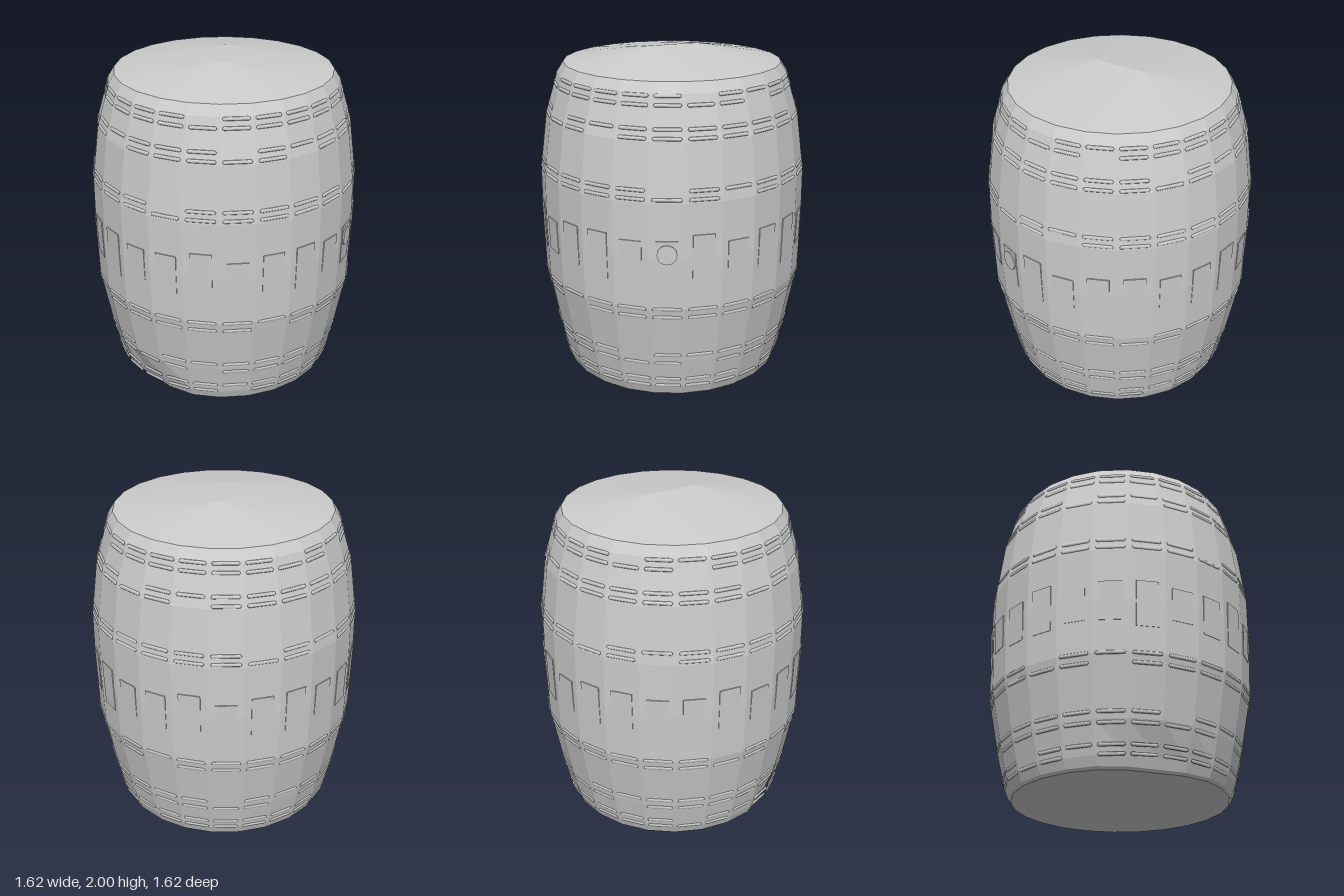
import * as THREE from 'three';
import { mergeGeometries } from 'three/addons/utils/BufferGeometryUtils.js';

const SIDES = 24;
const STEP = (Math.PI * 2) / SIDES;
// radius and height of the barrel wall, bottom to top
const PROFILE = [
  [0, 0], [0.645, 0], [0.66, 0.015], [0.682, 0.07], [0.728, 0.26], [0.797, 0.62], [0.808, 0.94],
  [0.808, 1.26], [0.765, 1.6], [0.692, 1.85], [0.655, 1.91],
];

// flat facets baked into the normals
function faceted(geometry) {
  const g = geometry.index ? geometry.toNonIndexed() : geometry;
  g.computeVertexNormals();
  return g;
}

// wall radius and lean at a height
function wallAt(y) {
  let i = 2;
  while (i < PROFILE.length - 1 && PROFILE[i][1] < y) i++;
  const [r0, y0] = PROFILE[i - 1];
  const [r1, y1] = PROFILE[i];
  const t = (y - y0) / (y1 - y0);
  return { r: r0 + (r1 - r0) * t, lean: Math.atan2(r1 - r0, y1 - y0) };
}

// lays a geometry (facing +z) onto one facet of the wall
function ontoWall(geometry, angle, y, lift = 0) {
  const { r, lean } = wallAt(y);
  geometry.rotateX(lean);
  geometry.translate(0, y, r * Math.cos(STEP / 2) + lift);
  return geometry.rotateY(angle);
}

export function createModel() {
  const barrel = new THREE.Group();
  barrel.name = 'barrel';
  const grey = new THREE.MeshStandardMaterial({ color: 0xcccccc });
  grey.name = 'plain grey';
  const add = (name, geometry) => {
    const mesh = new THREE.Mesh(geometry, grey);
    mesh.name = name;
    barrel.add(mesh);
  };

  // bulging wall with a closed base
  const wall = new THREE.LatheGeometry(PROFILE.map(([r, y]) => new THREE.Vector2(r, y)), SIDES);
  const p = wall.attributes.position;
  for (let i = 0; i < p.count; i++) {
    // worn lower corner at the front right
    const x = p.getX(i), y = p.getY(i), z = p.getZ(i);
    const away = Math.abs(Math.atan2(x, z) + Math.PI / 4);
    if (y < 0.1 && away < 0.5) {
      const s = 1 - 0.06 * (1 - away / 0.5);
      p.setX(i, x * s);
      p.setZ(i, z * s);
    }
  }
  add('wall', faceted(wall));

  // shallow lid rising to a short ridge
  const [rimR, rimY] = PROFILE[PROFILE.length - 1];
  const rim = (i) => [Math.sin(i * STEP) * rimR, rimY, Math.cos(i * STEP) * rimR];
  const front = [0, 2, 0.16], back = [0, 2, -0.16];
  const quarter = SIDES / 4;
  const corners = [];
  for (let i = 0; i < SIDES; i++) {
    const behind = i >= quarter && i < quarter * 3;
    corners.push(...rim(i), ...rim(i + 1), ...(behind ? back : front));
  }
  corners.push(...rim(quarter), ...back, ...front, ...rim(quarter * 3), ...front, ...back);
  const lid = new THREE.BufferGeometry();
  lid.setAttribute('position', new THREE.Float32BufferAttribute(corners, 3));
  add('lid', faceted(lid));

  // broken hoops: one low rounded ridge per stave
  const hoops = [0.075, 0.125, 0.24, 0.3, 0.565, 0.62, 1.28, 1.33, 1.615, 1.665, 1.79, 1.84];
  hoops.forEach((y, h) => {
    const ridges = [];
    const length = 2 * wallAt(y).r * Math.sin(STEP / 2) * 0.72;
    for (let i = 0; i < SIDES; i++) {
      if ((i * 7 + h * 5) % 9 === 0) continue; // worn away
      const ridge = new THREE.CapsuleGeometry(0.011, length, 3, 8);
      ridge.rotateZ(Math.PI / 2);
      ridge.scale(1, 1, 0.6);
      ridges.push(ontoWall(ridge, (i + 0.5) * STEP, y));
    }
    add('hoop', mergeGeometries(ridges));
  });

  // faint stave swellings around the middle
  const swellings = [];
  for (let i = 0; i < SIDES; i++) {
    const plate = new THREE.BoxGeometry(0.13, 0.2 + 0.04 * (i % 3), 0.006);
    swellings.push(ontoWall(plate, (i + 0.5) * STEP, 0.92 + 0.015 * (i % 2)));
  }
  add('staves', mergeGeometries(swellings));

  // round bung on the left side
  const bung = new THREE.CylinderGeometry(0.058, 0.058, 0.024, 20);
  bung.rotateX(Math.PI / 2);
  add('bung', ontoWall(bung, 4.5 * STEP, 0.96));

  return barrel;
}
